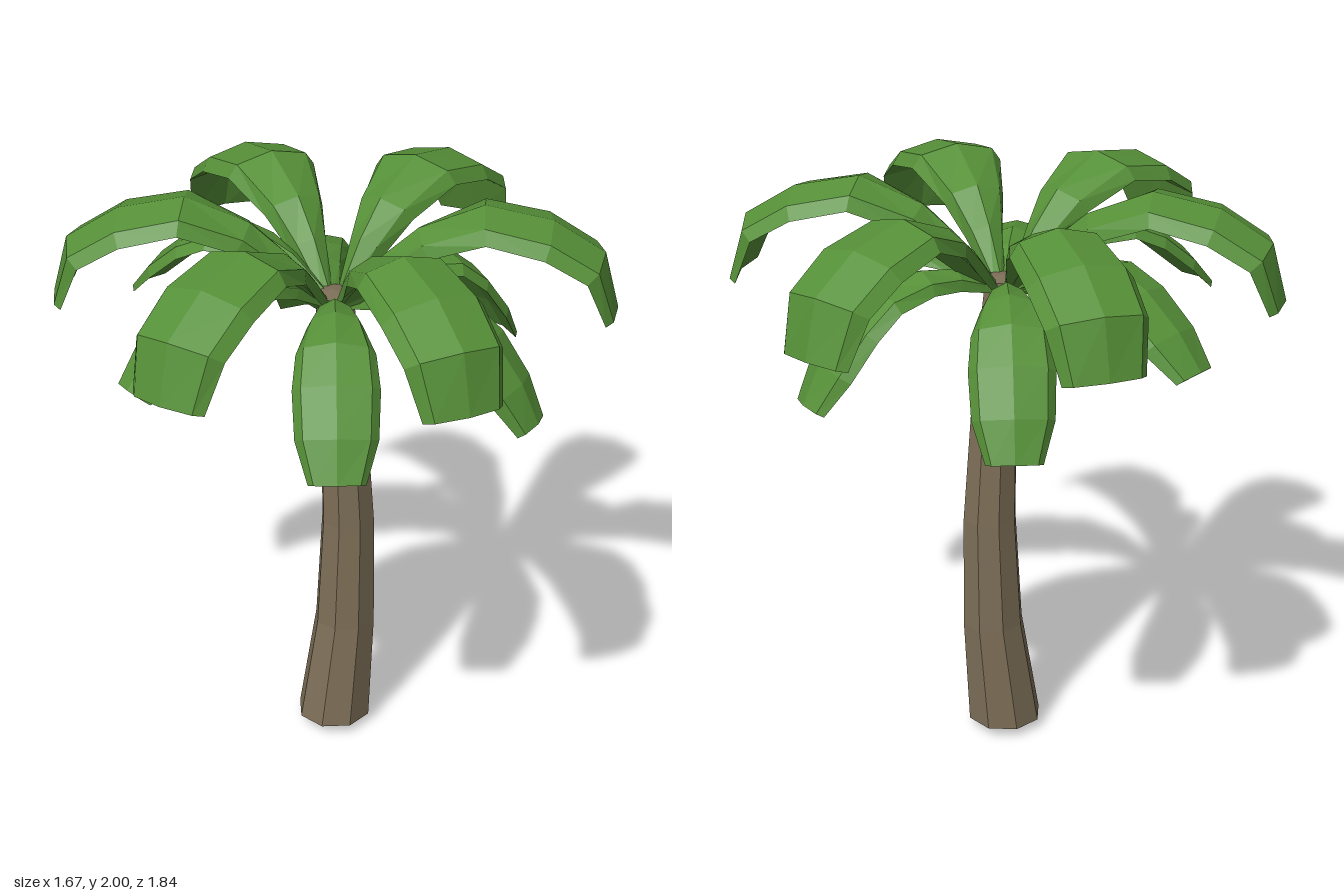
import * as THREE from 'three';

// Closed solid through a list of equal-length rings, with a centre point for each cap
function loft(rings, startCentre, endCentre) {
  const n = rings[0].length, last = rings.length - 1;
  const pos = [], index = [];
  rings.flat().concat([startCentre, endCentre]).forEach(p => pos.push(...p));
  const s = rings.length * n, e = s + 1;
  for (let j = 0; j < n; j++) {
    const k = (j + 1) % n;
    for (let i = 0; i < last; i++) {
      const a = i * n + j, b = i * n + k, c = a + n, d = b + n;
      index.push(a, c, b, b, c, d);
    }
    index.push(s, j, k, e, last * n + k, last * n + j);
  }
  const g = new THREE.BufferGeometry();
  g.setAttribute('position', new THREE.Float32BufferAttribute(pos, 3));
  g.setIndex(index);
  const flat = g.toNonIndexed();
  flat.computeVertexNormals();
  return flat;
}

// Leaf along +z: stations are [distance, height, half width] on the ridge
function frondGeometry(stations, depth) {
  const frames = stations.map(([r, y, w], i) => {
    const p = stations[Math.max(i - 1, 0)], q = stations[Math.min(i + 1, stations.length - 1)];
    const len = Math.hypot(q[0] - p[0], q[1] - p[1]);
    const nr = -(q[1] - p[1]) / len, ny = (q[0] - p[0]) / len;
    const edge = i === 0 || i === stations.length - 1 ? 0.6 : 1;
    return (x, drop) => [x * w, y - ny * drop * depth * edge, r - nr * drop * depth * edge];
  });
  // Shallow roof, steep rims, hollowed underside
  const section = [[-1, 1], [-0.8, 0.4], [0, 0], [0.8, 0.4], [1, 1], [0, 0.6]];
  const rings = frames.map(f => section.map(([x, d]) => f(x, d)));
  return loft(rings, frames[0](0, 0.3), frames[frames.length - 1](0, 0.3));
}

export function createModel() {
  const model = new THREE.Group();
  model.name = 'palmTree';
  const bark = new THREE.MeshStandardMaterial({ color: 0x7d6f58, flatShading: true });
  bark.name = 'bark brown';
  const leaf = new THREE.MeshStandardMaterial({ color: 0x569038, flatShading: true });
  leaf.name = 'leaf green';

  // Bowed, tapering eight-sided trunk: [height, centre x, radius]
  const trunkRings = [
    [0.035, 0, 0.13], [0.42, 0.043, 0.107], [0.82, 0.054, 0.094],
    [1.25, 0.036, 0.08], [1.68, 0, 0.067],
  ].map(([y, cx, r]) => Array.from({ length: 8 }, (_, i) => {
    const a = i * Math.PI / 4;
    return [cx + r * Math.cos(a), y, r * Math.sin(a)];
  }));
  const trunk = new THREE.Mesh(loft(trunkRings, [0, 0, 0], [0, 1.69, 0]), bark);
  trunk.name = 'trunk';
  model.add(trunk);

  // Upper crown: six equal arching fronds
  const upper = frondGeometry([
    [0.035, 1.67, 0.025], [0.15, 1.81, 0.065], [0.27, 1.915, 0.105], [0.48, 2.0, 0.158],
    [0.70, 1.955, 0.172], [0.87, 1.85, 0.165], [0.92, 1.66, 0.135],
  ], 0.075);
  for (let i = 0; i < 6; i++) {
    const frond = new THREE.Mesh(upper, leaf);
    frond.name = 'upperFrond' + (i + 1);
    frond.rotation.y = i * Math.PI / 3;
    model.add(frond);
  }

  // Lower crown: smaller fronds, [heading, droop] in degrees
  const lower = frondGeometry([
    [0.035, -0.02, 0.025], [0.16, 0.08, 0.06], [0.28, 0.125, 0.09], [0.44, 0.135, 0.125],
    [0.57, 0.075, 0.137], [0.70, -0.03, 0.13], [0.79, -0.14, 0.09],
  ], 0.06);
  const headings = [[37, 14], [99, 14], [163, 18], [211, 1], [280, 0], [335, 14]];
  headings.forEach(([heading, droop], i) => {
    const frond = new THREE.Mesh(lower, leaf);
    frond.name = 'lowerFrond' + (i + 1);
    frond.position.y = 1.7;
    frond.rotation.set(THREE.MathUtils.degToRad(droop), THREE.MathUtils.degToRad(heading), 0, 'YXZ');
    model.add(frond);
  });
  return model;
}
